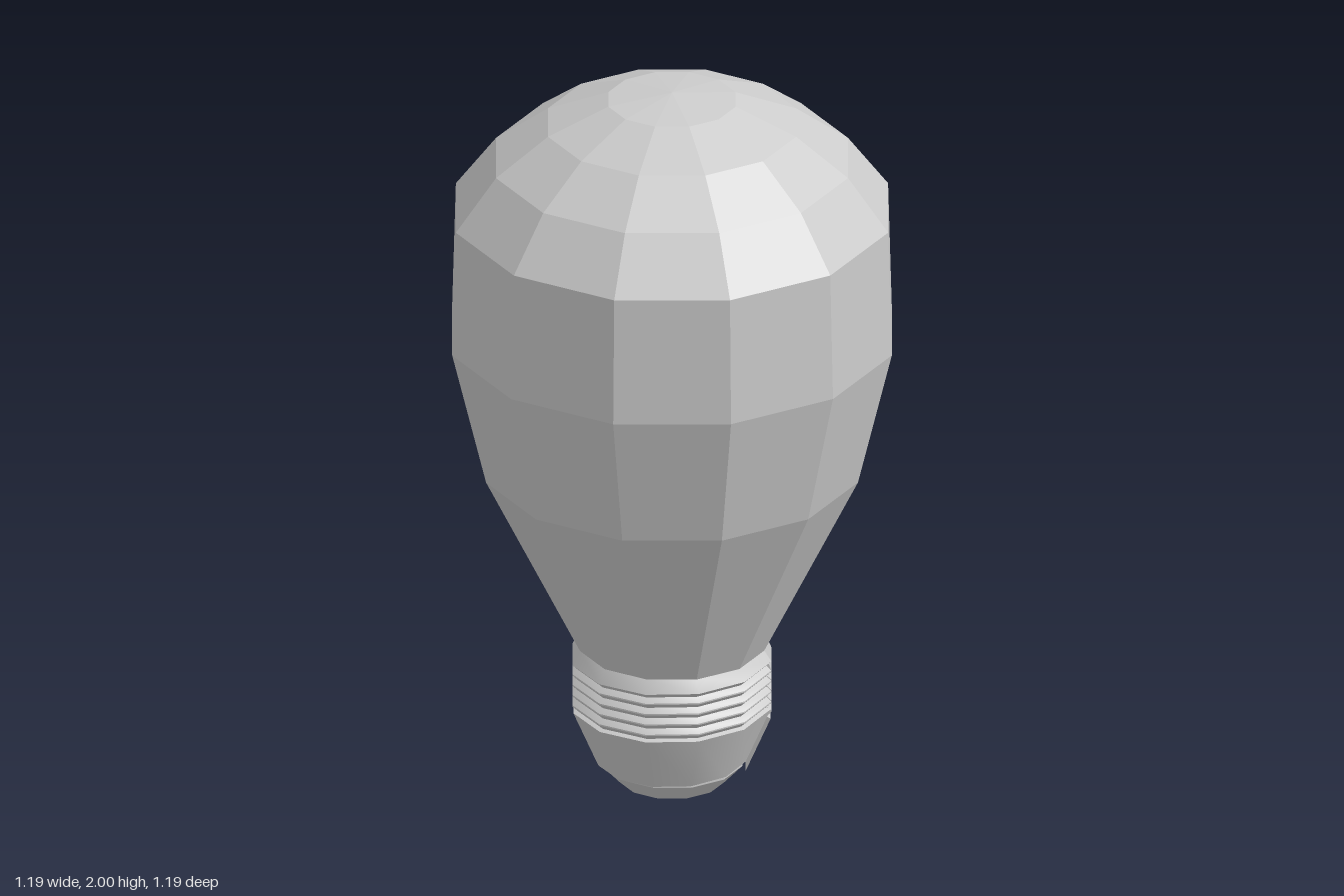
import * as THREE from 'three';
import { toCreasedNormals } from 'three/addons/utils/BufferGeometryUtils.js';

const SIDES = 12;

function lathe(profile, phiStart = 0) {
  const points = profile.map(([r, y]) => new THREE.Vector2(r, y));
  return new THREE.LatheGeometry(points, SIDES, phiStart);
}

function part(name, geometry, flatShading) {
  const material = new THREE.MeshStandardMaterial({
    color: 0xcccccc, flatShading, side: THREE.DoubleSide,
  });
  const mesh = new THREE.Mesh(geometry, material);
  mesh.name = name;
  return mesh;
}

export function createModel() {
  const model = new THREE.Group();
  model.name = 'lightBulb';

  // Faceted glass envelope, from neck to crown
  model.add(part('glassBulb', lathe([
    [0.25, 0.41], [0.505, 0.93], [0.597, 1.31], [0.587, 1.665],
    [0.478, 1.81], [0.337, 1.913], [0.173, 1.98], [0, 2],
  ]), true));

  // Screw base: tapered skirt, thread ridges, collar
  const pitch = 0.03;
  const ridges = 5;
  const profile = [[0.2, 0.083], [0.268, 0.243]];
  for (let i = 0; i < ridges; i++) {
    const y = 0.248 + i * pitch;
    profile.push([0.256, y], [0.27, y + 0.014]);
    if (i < ridges - 1) profile.push([0.27, y + 0.018]);
  }
  profile.push([0.25, 0.412]);

  // Sink the thread by one pitch over a full turn, leaving a seam at +x
  const screw = lathe(profile, Math.PI / 2);
  const pos = screw.attributes.position;
  const uv = screw.attributes.uv;
  for (let i = 0; i < pos.count; i++) {
    const y = pos.getY(i);
    const drop = y > 0.4 ? 0.005 : pitch * 0.9;
    pos.setY(i, y - drop * (1 - uv.getX(i)));
  }
  model.add(part('screwBase', toCreasedNormals(screw, 0.6), false));

  // Bottom contact, tucked just inside the skirt
  model.add(part('bottomContact', lathe([
    [0, 0], [0.08, 0.004], [0.142, 0.016], [0.192, 0.07], [0.192, 0.1], [0, 0.1],
  ]), true));

  return model;
}
